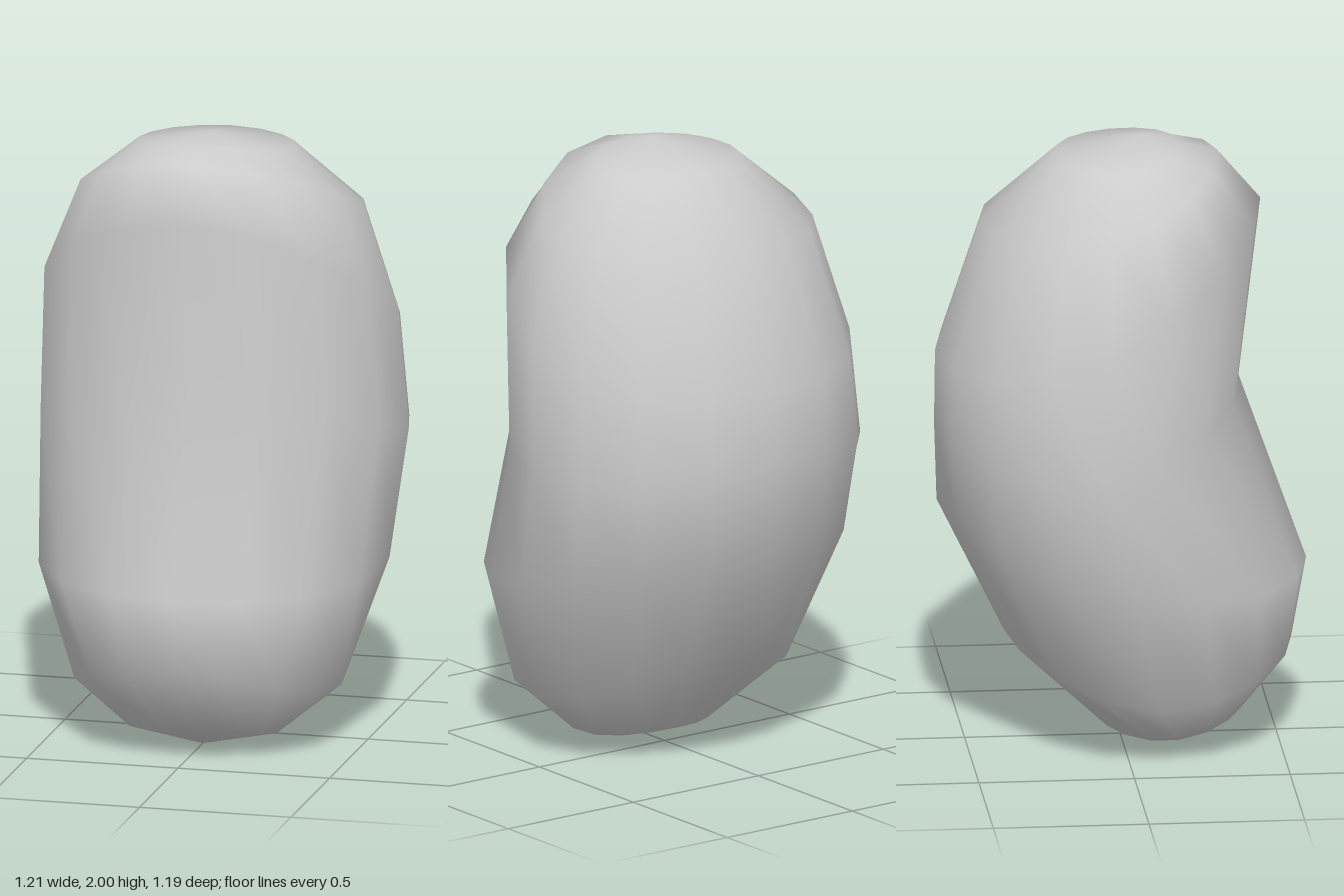
import * as THREE from 'three';

const SIDES = 16;

// Cross-sections from top to bottom: half width, side height, then [z, y] of the front and back points
const RINGS = [
  { r: 0.255, side: 1.945, front: [0.19, 1.972], back: [-0.21, 1.945] },
  { r: 0.465, side: 1.76, front: [0.31, 1.945], back: [-0.45, 1.73] },
  { r: 0.58, side: 1.42, front: [0.45, 1.78], back: [-0.595, 1.3] },
  { r: 0.607, side: 1.01, front: [0.38, 1.19], back: [-0.598, 1.06] },
  { r: 0.572, side: 0.61, front: [0.597, 0.575], back: [-0.59, 0.8] },
  { r: 0.435, side: 0.2, front: [0.55, 0.315], back: [-0.375, 0.36] },
  { r: 0.24, side: 0.045, front: [0.4, 0.115], back: [-0.07, 0.06] },
];
const TOP = [0, 2, 0.07];
const BOTTOM = [0, 0, 0.18];

function beanGeometry() {
  const positions = [];
  const index = [];

  // Tilted, slightly saddle-shaped rings that follow the bend
  for (const { r, side, front, back } of RINGS) {
    for (let j = 0; j < SIDES; j++) {
      const a = (j / SIDES) * Math.PI * 2;
      const c = Math.cos(a);
      const y = side + ((front[1] - back[1]) / 2) * c + ((front[1] + back[1]) / 2 - side) * c * c;
      const z = (front[0] + back[0]) / 2 + ((front[0] - back[0]) / 2) * c;
      positions.push(r * Math.sin(a), y, z);
    }
  }
  const top = RINGS.length * SIDES;
  const bottom = top + 1;
  positions.push(...TOP, ...BOTTOM);

  // Skin between rings, closed by a fan at each end
  const at = (i, j) => i * SIDES + (j % SIDES);
  const last = RINGS.length - 1;
  for (let j = 0; j < SIDES; j++) {
    index.push(top, at(0, j), at(0, j + 1));
    for (let i = 0; i < last; i++) {
      index.push(at(i, j), at(i + 1, j), at(i + 1, j + 1));
      index.push(at(i, j), at(i + 1, j + 1), at(i, j + 1));
    }
    index.push(at(last, j), bottom, at(last, j + 1));
  }

  const geometry = new THREE.BufferGeometry();
  geometry.setAttribute('position', new THREE.Float32BufferAttribute(positions, 3));
  geometry.setIndex(index);
  geometry.computeVertexNormals();
  return geometry;
}

export function createModel() {
  const group = new THREE.Group();
  group.name = 'bean';
  const body = new THREE.Mesh(beanGeometry(), new THREE.MeshStandardMaterial({ color: 0xcccccc }));
  body.name = 'beanBody';
  group.add(body);
  return group;
}
